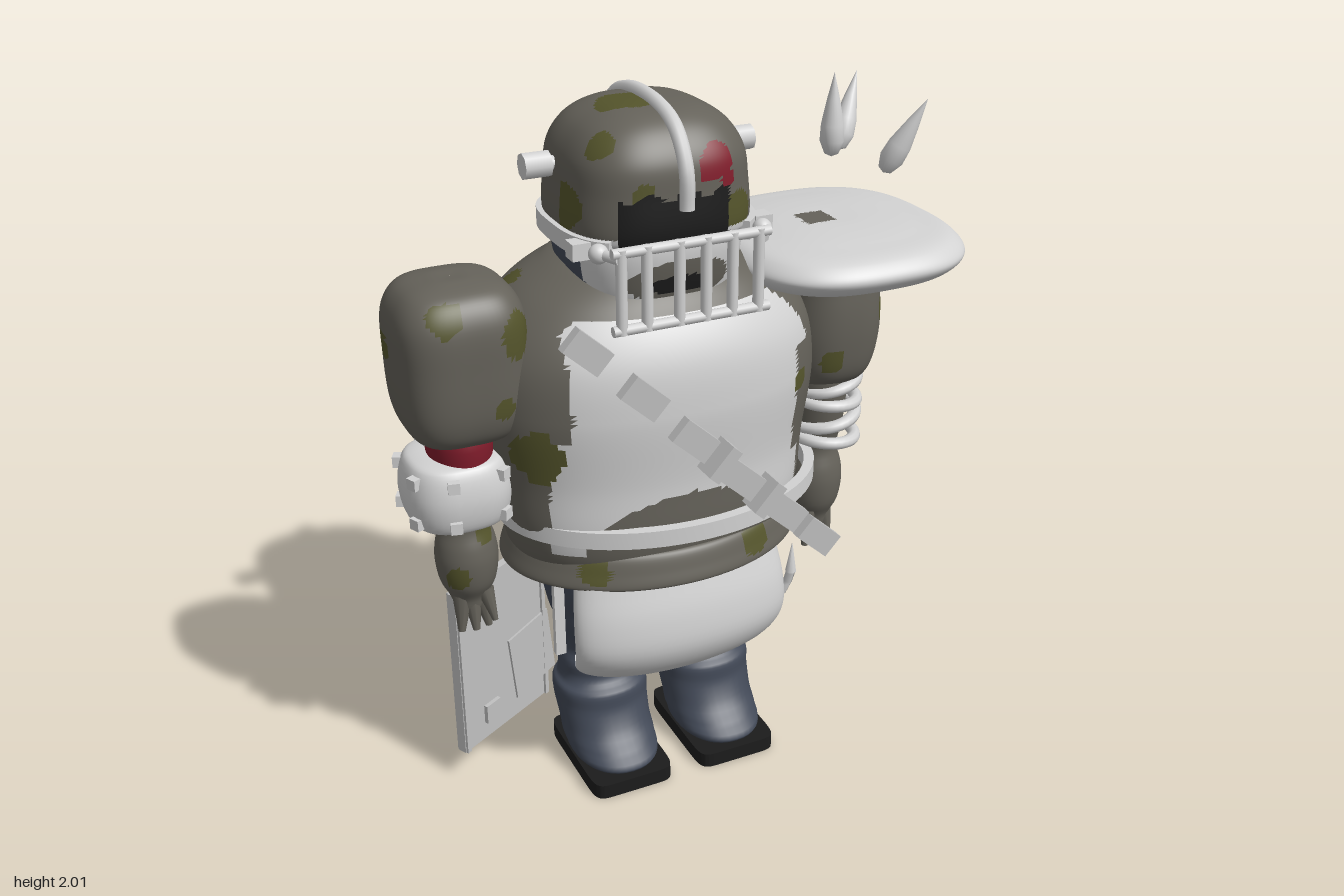
import * as THREE from 'three';
import { toCreasedNormals } from 'three/addons/utils/BufferGeometryUtils.js';

const mat = (name, color, side = THREE.FrontSide) => {
  const m = new THREE.MeshStandardMaterial({ color, side });
  m.name = name;
  return m;
};
const hide = mat('hide', 0x65625a), moss = mat('moss', 0x55552c), red = mat('red', 0x821d2c);
const pale = mat('pale metal', 0xd2d2d2, THREE.DoubleSide), steel = mat('steel', 0xc0c0c0);
const cloth = mat('blue cloth', 0x434a58), black = mat('black', 0x1c1c1c);
const CX = -0.09; // body axis

const V = (x, y, z) => new THREE.Vector3(x, y, z);
const sup = (a, rx, rz, n) => {
  const c = Math.cos(a), s = Math.sin(a);
  return [rx * Math.sign(c) * Math.abs(c) ** (2 / n), rz * Math.sign(s) * Math.abs(s) ** (2 / n)];
};

// Smooth closed loft through rows [y, rx, rz, cx, cz], bottom to top
function loft(rows, n = 2, segs = 40, steps = 36) {
  const first = rows[0], last = rows[rows.length - 1];
  const all = [[first[0], 0.001, 0.001, first[3], first[4]], ...rows, [last[0], 0.001, 0.001, last[3], last[4]]];
  const size = new THREE.CatmullRomCurve3(all.map(r => V(r[1], r[0], r[2])));
  const mid = new THREE.CatmullRomCurve3(all.map(r => V(r[3], 0, r[4])));
  const pos = [], idx = [];
  for (let j = 0; j <= steps; j++) {
    const p = size.getPoint(j / steps), c = mid.getPoint(j / steps);
    for (let i = 0; i < segs; i++) {
      const [x, z] = sup(i / segs * Math.PI * 2, Math.max(p.x, 0.001), Math.max(p.z, 0.001), n);
      pos.push(c.x + x, p.y, c.z + z);
      if (j === steps) continue;
      const a = j * segs + i, b = j * segs + (i + 1) % segs;
      idx.push(a, a + segs, b, b, a + segs, b + segs);
    }
  }
  const g = new THREE.BufferGeometry();
  g.setAttribute('position', new THREE.Float32BufferAttribute(pos, 3));
  g.setIndex(idx);
  g.computeVertexNormals();
  return g;
}

// Sort faces into colour groups: the first layer whose test passes wins
function paint(g, base, layers) {
  const p = g.attributes.position, id = g.index.array, sets = [...layers.map(() => []), []];
  for (let k = 0; k < id.length; k += 3) {
    const t = [id[k], id[k + 1], id[k + 2]];
    const [x, y, z] = ['getX', 'getY', 'getZ'].map(f => (p[f](t[0]) + p[f](t[1]) + p[f](t[2])) / 3);
    const hit = layers.findIndex(l => l[1](x, y, z));
    sets[hit < 0 ? layers.length : hit].push(...t);
  }
  g.setIndex(sets.flat());
  let start = 0;
  sets.forEach((s, i) => { g.addGroup(start, s.length, i); start += s.length; });
  return [g, [...layers.map(l => l[0]), base]];
}
// Soft-edged blotches given as [x, y, z, radius]
const spots = list => (x, y, z) => list.some(([a, b, c, r]) =>
  Math.hypot(x - a, y - b, z - c) < r * (1 + 0.18 * Math.sin(50 * x + 20 * z) * Math.cos(45 * y)));

// Flat band around y, top at yTop, over an angle range
function band(rx, rz, t, h, yTop, cx, cz, n = 2, a0 = 0, a1 = Math.PI * 2) {
  const pts = [], inner = [];
  for (let i = 0; i <= 72; i++) {
    const a = a0 + (a1 - a0) * i / 72;
    pts.push(new THREE.Vector2(...sup(a, rx, rz, n)));
    inner.unshift(new THREE.Vector2(...sup(a, rx - t, rz - t, n)));
  }
  const g = new THREE.ExtrudeGeometry(new THREE.Shape([...pts, ...inner]), { depth: h, bevelEnabled: false });
  return toCreasedNormals(g.rotateX(Math.PI / 2).translate(cx, yTop, cz), 0.6);
}

export function createModel() {
  const root = new THREE.Group();
  const add = (name, g, m, parent = root) => {
    const o = new THREE.Mesh(g, m);
    o.name = name;
    parent.add(o);
    return o;
  };
  const box = (name, m, w, h, d, x, y, z, rz = 0, parent = root) => {
    const o = add(name, new THREE.BoxGeometry(w, h, d), m, parent);
    o.position.set(x, y, z);
    o.rotation.z = rz;
    return o;
  };
  const rod = (name, m, a, b, r0, r1 = r0, sides = 12) => {
    const d = b.clone().sub(a), o = add(name, new THREE.CylinderGeometry(r1, r0, d.length(), sides), m);
    o.position.copy(a).addScaledVector(d, 0.5);
    o.quaternion.setFromUnitVectors(V(0, 1, 0), d.normalize());
  };
  const ball = (name, m, r, x, y, z) => add(name, new THREE.SphereGeometry(r, 20, 14), m).position.set(x, y, z);
  const col = (rows, cx, cz) => rows.map(([y, rx, rz = rx, dz = 0]) => [y, rx, rz, cx, cz + dz]);

  // Torso with painted breastplate
  const plate = (x, y, z) => z > 0.15 && y > 0.8 && y < 1.47 && x > (y < 1.15 ? -0.46 : -0.41)
    && x < (y > 1.3 ? 0.34 : y > 0.98 ? 0.26 : 0.31) && ((x + 0.09) / 0.29) ** 2 + ((y - 0.8) / 0.17) ** 2 > 1;
  add('torso', ...paint(loft(col([[0.73, 0.4, 0.27, -0.01], [0.85, 0.44, 0.28, 0.01], [1, 0.46, 0.29, 0],
    [1.2, 0.49, 0.315, -0.01], [1.35, 0.475, 0.32, -0.03], [1.47, 0.4, 0.28, -0.05], [1.55, 0.27, 0.21, -0.06],
    [1.59, 0.14, 0.12, -0.06]], CX, -0.015), 2.15, 130, 110), hide, [
    [red, spots([[-0.2, 1.4, -0.35, 0.08], [-0.27, 1.45, -0.29, 0.03], [0.04, 0.96, -0.3, 0.075], [-0.3, 1.36, -0.3, 0.02]])],
    [moss, spots([[-0.5, 1.1, 0.16, 0.08], [0.12, 1.46, -0.26, 0.11], [0.2, 1.2, -0.25, 0.035], [0.28, 1.2, 0.2, 0.03],
      [0.3, 1.05, -0.15, 0.05], [-0.42, 1.45, -0.12, 0.065], [0.02, 1.2, -0.33, 0.03], [-0.3, 1.12, -0.27, 0.035],
      [-0.2, 0.94, -0.28, 0.04], [0.15, 0.98, -0.26, 0.04], [0.34, 1.3, 0, 0.07], [-0.42, 1, -0.2, 0.04]])],
    [pale, plate]]));
  add('belt', band(0.48, 0.345, 0.03, 0.05, 0.89, -0.06, -0.025), pale);
  add('skirt', ...paint(loft(col([[0.697, 0.43, 0.31], [0.703, 0.447, 0.333], [0.745, 0.437, 0.325], [0.79, 0.42, 0.31], [0.8, 0.4, 0.29]],
    -0.085, -0.03), 2, 110, 40), hide, [[moss, spots([[-0.36, 0.76, 0.22, 0.05], [0.12, 0.77, 0.27, 0.055],
    [0.3, 0.75, 0.1, 0.06], [-0.1, 0.74, -0.35, 0.07], [0.2, 0.74, -0.26, 0.06], [-0.42, 0.75, -0.2, 0.05]])]]));

  // Hanging belly bowl: rows of [y, z, half width]
  const bellyRows = new THREE.CatmullRomCurve3([[0.72, 0.28, 0.31], [0.6, 0.315, 0.325], [0.5, 0.32, 0.325], [0.42, 0.28, 0.31],
    [0.365, 0.21, 0.285], [0.335, 0.12, 0.25], [0.33, 0.04, 0.2], [0.345, -0.01, 0.14]].map(r => V(r[2], r[0], r[1])));
  const belly = new THREE.PlaneGeometry(1, 1, 32, 32), bp = belly.attributes.position;
  for (let i = 0; i < bp.count; i++) {
    const u = bp.getX(i) * 2, t = 0.5 - bp.getY(i), p = bellyRows.getPoint(t), drop = 1 - Math.cos(u * 1.57);
    bp.setXYZ(i, -0.095 + p.x * Math.sin(u * 1.57), p.y + 0.05 * t * t * drop, p.z - 0.11 * drop);
  }
  belly.computeVertexNormals();
  add('bellyPlate', belly, pale);

  // Hips, legs and soles
  add('hips', loft(col([[0.5, 0.1, 0.1], [0.56, 0.25, 0.15], [0.65, 0.31, 0.19], [0.74, 0.31, 0.2]], CX, -0.02)), cloth);
  for (const s of [-1, 1]) {
    const x = CX + s * 0.17;
    add('leg', loft(col([[0.04, 0.115, 0.17, 0.065], [0.08, 0.13, 0.165, 0.065], [0.13, 0.132, 0.14, 0.035], [0.2, 0.138, 0.132, 0.005],
      [0.25, 0.138, 0.13], [0.27, 0.12, 0.112, -0.005], [0.33, 0.115, 0.1, -0.005], [0.38, 0.1, 0.098, -0.005], [0.45, 0.12, 0.108],
      [0.53, 0.145, 0.13], [0.61, 0.155, 0.185], [0.67, 0.155, 0.195], [0.73, 0.14, 0.18]], x, -0.02), 2.2, 40, 60), cloth);
    add('sole', band(0.125, 0.19, 0.1249, 0.045, 0.045, x, 0.06, 9), black);
    const patch = add('solePatch', new THREE.CircleGeometry(0.07, 24).rotateX(Math.PI / 2), cloth);
    patch.position.set(x, -0.001, 0.08);
  }

  // Jaw and helmet
  add('jaw', ...paint(loft(col([[1.44, 0.17, 0.16], [1.48, 0.21, 0.2], [1.56, 0.235, 0.225], [1.64, 0.242, 0.235], [1.71, 0.23, 0.22]],
    CX, -0.025), 2.7, 90, 60), hide, [
    [black, (x, y, z) => z > 0 && ((x + 0.09) / 0.09) ** 2 + ((y - 1.54) / 0.025) ** 2 < 1],
    [hide, (x, y, z) => z > 0 && ((x + 0.09) / 0.145) ** 2 + ((y - 1.55) / 0.06) ** 2 < 1],
    [pale, (x, y, z) => z > 0.08], [cloth, (x, y, z) => z > -0.12]]));
  add('helmet', ...paint(loft(col([[1.655, 0.245, 0.24], [1.68, 0.255, 0.25], [1.78, 0.25, 0.248], [1.86, 0.238, 0.24], [1.925, 0.198, 0.2],
    [1.965, 0.13, 0.14], [1.98, 0.04, 0.04]], CX, -0.025), 2.9, 110, 90), hide, [
    [red, spots([[0, 1.85, 0.2, 0.05], [0.03, 1.81, 0.2, 0.025]])],
    [black, (x, y, z) => z > 0.08 && Math.abs(x + 0.11) < 0.15 && y < 1.785 + 0.012 * Math.sin(x * 60)],
    [pale, (x, y, z) => z > 0.08 && y < 1.68],
    [moss, spots([[-0.27, 1.9, 0.12, 0.04], [0.08, 1.72, 0.2, 0.055], [-0.2, 1.79, 0.21, 0.03], [0.15, 1.82, 0.04, 0.075],
      [-0.15, 1.97, -0.01, 0.07], [0.08, 1.92, -0.1, 0.05], [0, 1.78, -0.26, 0.06], [-0.24, 1.78, -0.25, 0.095],
      [-0.33, 1.74, 0.05, 0.06], [0.15, 1.7, -0.15, 0.035]])]]));
  const crest = new THREE.CatmullRomCurve3([[1.75, 0.235], [1.85, 0.23], [1.94, 0.17], [1.98, 0.06], [1.98, -0.11], [1.94, -0.22],
    [1.85, -0.285], [1.75, -0.29]].map(([y, z]) => V(CX, y, z)));
  add('crest', new THREE.TubeGeometry(crest, 48, 0.02, 10), pale);
  add('brim', band(0.27, 0.267, 0.03, 0.05, 1.68, CX, -0.025, 2.9, Math.PI * 0.72, Math.PI * 2.28), pale);
  for (const s of [-1, 1]) {
    rod('helmetBolt', pale, V(CX + s * 0.22, 1.825, -0.055), V(CX + s * 0.27, 1.825, -0.055), 0.02);
    rod('helmetBoltHead', pale, V(CX + s * 0.255, 1.825, -0.055), V(CX + s * 0.328, 1.825, -0.055), 0.035, 0.035, 8);
    box('brimLug', pale, 0.05, 0.045, 0.05, CX + s * 0.258, 1.655, 0.14);
    ball('cageKnob', pale, 0.026, CX + s * 0.23, 1.66, 0.205);
    rod('cageArm', pale, V(CX + s * 0.23, 1.66, 0.2), V(CX + s * 0.2, 1.66, 0.27), 0.014);
  }

  // Face cage
  for (const y of [1.675, 1.47]) rod('cageBar', pale, V(-0.31, y, 0.265), V(0.13, y, 0.265), 0.014);
  for (const x of [-0.285, -0.215, -0.125, -0.05, 0.025, 0.1]) rod('cageUpright', pale, V(x, 1.46, 0.265), V(x, 1.685, 0.265), 0.015);

  // Right arm with riveted cuff
  add('rightUpperArm', ...paint(loft(col([[1.13, 0.09], [1.16, 0.14], [1.22, 0.165], [1.36, 0.175], [1.49, 0.17], [1.55, 0.135],
    [1.575, 0.06]], -0.635, -0.03), 3.2, 70, 60), hide, [[moss, spots([[-0.7, 1.52, 0.12, 0.045], [-0.5, 1.45, 0.13, 0.06],
    [-0.56, 1.25, 0.14, 0.03], [-0.8, 1.4, -0.08, 0.04], [-0.7, 1.3, -0.2, 0.04], [-0.6, 1.5, -0.18, 0.035]])]]));
  const lower = [[0.6, 0.045, 0.045], [0.64, 0.055, 0.055], [0.69, 0.078, 0.08], [0.76, 0.088, 0.09], [0.81, 0.083, 0.085],
    [0.87, 0.068, 0.07], [0.95, 0.08, 0.09], [1.05, 0.085, 0.105], [1.16, 0.085, 0.105]];
  add('rightForearm', ...paint(loft(col(lower, -0.645, -0.02), 2, 48, 50), hide, [[red, (x, y) => y > 1.06],
    [moss, spots([[-0.7, 0.72, 0.06, 0.04], [-0.6, 0.86, 0.05, 0.035], [-0.66, 0.75, -0.1, 0.05]])]]));
  add('cuff', loft(col([[0.885, 0.1], [0.9, 0.13], [0.985, 0.148], [1.07, 0.13], [1.085, 0.1]], -0.66, -0.03), 2.6), pale);
  for (let i = 0; i < 7; i++) for (const y of [0.925, 1.045]) {
    const a = i * Math.PI * 2 / 7, [x, z] = sup(a, 0.14, 0.14, 2.6);
    box('rivet', pale, 0.032, 0.032, 0.032, -0.66 + x, y, -0.03 + z).rotation.y = -a;
  }

  // Left arm with wire coils
  add('leftUpperArm', ...paint(loft(col([[1.08, 0.08], [1.13, 0.125, 0.14], [1.24, 0.15, 0.165], [1.38, 0.145, 0.165], [1.5, 0.13, 0.14]],
    0.475, -0.03), 2.4, 60, 50), hide, [[moss, spots([[0.6, 1.32, 0.05, 0.055], [0.42, 1.19, 0.13, 0.04], [0.38, 1.3, -0.17, 0.05]])]]));
  add('leftForearm', loft(col(lower, 0.455, -0.02)), hide);
  [0.91, 0.97, 1.03, 1.085].forEach((y, i) => {
    const o = add('wireCoil', new THREE.TorusGeometry(0.1, 0.018, 10, 36).rotateX(Math.PI / 2), pale);
    o.position.set(0.475, y, -0.02);
    o.scale.z = 1.12;
    o.rotation.z = i % 2 ? 0.17 : -0.1;
  });

  // Fingers
  for (const [cx, s] of [[-0.645, 1], [0.455, -1]]) {
    for (let i = -1; i <= 1; i++) {
      rod('finger', hide, V(cx + i * 0.025, 0.65, 0), V(cx + i * 0.04, 0.54, 0.03 - Math.abs(i) * 0.01), 0.03, 0.01, 10);
    }
    rod('thumb', hide, V(cx + s * 0.035, 0.66, 0.02), V(cx + s * 0.05, 0.57, 0.05), 0.025, 0.008, 10);
  }

  // Shoulder pad and spikes
  add('shoulderPad', ...paint(loft(col([[1.43, 0.12, 0.12], [1.44, 0.23, 0.24], [1.465, 0.315, 0.33], [1.505, 0.345, 0.362],
    [1.545, 0.315, 0.33], [1.565, 0.22, 0.23], [1.575, 0.1, 0.1]], 0.485, -0.03), 2.7, 90, 70), pale,
    [[hide, (x, y, z) => y > 1.5 && Math.abs(x - 0.435) < 0.045 && Math.abs(z + 0.03) < 0.045]]));
  const spikeShape = new THREE.LatheGeometry([[0, 0], [0.02, 0.01], [0.034, 0.045], [0.032, 0.09], [0.018, 0.16], [0, 0.235]]
    .map(p => new THREE.Vector2(...p)), 20);
  for (const s of [-1, 0, 1]) {
    const o = add('spike', spikeShape, pale);
    o.position.set(s ? 0.575 : 0.48, s ? 1.72 : 1.745, -0.03 + s * 0.12);
    o.quaternion.setFromUnitVectors(V(0, 1, 0), (s ? V(0.085, 0.2, s * 0.06) : V(0, 1, 0)).normalize());
  }

  // Bandolier blocks: [x, y, z, length]
  for (const [x, y, z, l] of [[-0.425, 1.48, 0.37, 0.12], [-0.295, 1.35, 0.415, 0.12], [-0.165, 1.215, 0.435, 0.12], [-0.1, 1.15, 0.45, 0.035],
    [-0.04, 1.085, 0.455, 0.12], [0.03, 1.02, 0.455, 0.035], [0.1, 0.95, 0.44, 0.12], [0.225, 0.825, 0.405, 0.12]]) {
    box('bandolierBlock', steel, l, l < 0.1 ? 0.1 : 0.07, l < 0.1 ? 0.075 : 0.03, x, y, z, -0.74);
  }

  // Moss clump on the back
  for (const [x, y, z, r] of [[-0.09, 1.49, -0.41, 0.085], [-0.12, 1.42, -0.41, 0.065], [-0.06, 1.41, -0.42, 0.065], [-0.09, 1.36, -0.42, 0.06],
    [-0.12, 1.31, -0.39, 0.055], [-0.07, 1.3, -0.38, 0.055], [-0.09, 1.45, -0.34, 0.08]]) ball('mossClump', moss, r, x, y, z);

  // Scrap door hung askew behind the right leg
  const door = new THREE.Group();
  door.name = 'door';
  door.position.set(-0.535, 0.37, -0.11);
  door.rotation.y = 0.52;
  root.add(door);
  box('doorSlab', steel, 0.38, 0.54, 0.025, 0, 0, 0, 0, door);
  for (const s of [-1, 1]) box('doorEdge', steel, 0.015, 0.54, 0.04, s * 0.18, 0, 0, 0, door);
  box('doorPanel', steel, 0.18, 0.22, 0.008, 0.12, -0.09, 0.015, 0.12, door);
  box('doorLatch', steel, 0.06, 0.06, 0.02, -0.07, -0.185, 0.015, 0, door);
  for (const [w, h, x, y] of [[0.24, 0.14, -0.02, 0.15], [0.14, 0.2, -0.08, -0.08], [0.1, 0.14, 0.1, -0.14]]) {
    box('doorBackPanel', steel, w, h, 0.006, x, y, -0.014, 0, door);
  }
  box('doorStrap', pale, 0.03, 0.26, 0.02, -0.425, 0.57, 0.1);

  // Hanging hooks
  for (const [z, d] of [[-0.05, 0], [-0.25, -0.07]]) {
    const path = new THREE.CatmullRomCurve3([[0.235, 0.78], [0.235, 0.5 + d], [0.24, 0.4 + d], [0.275, 0.34 + d], [0.33, 0.325 + d],
      [0.385, 0.35 + d], [0.41, 0.41 + d]].map(([x, y]) => V(x, y, z)));
    add('hook', new THREE.TubeGeometry(path, 18, 0.018, 4), steel);
    rod('hookTip', pale, V(0.41, 0.41 + d, z), V(0.412, 0.51 + d, z), 0.018, 0.001, 8);
  }
  return root;
}
